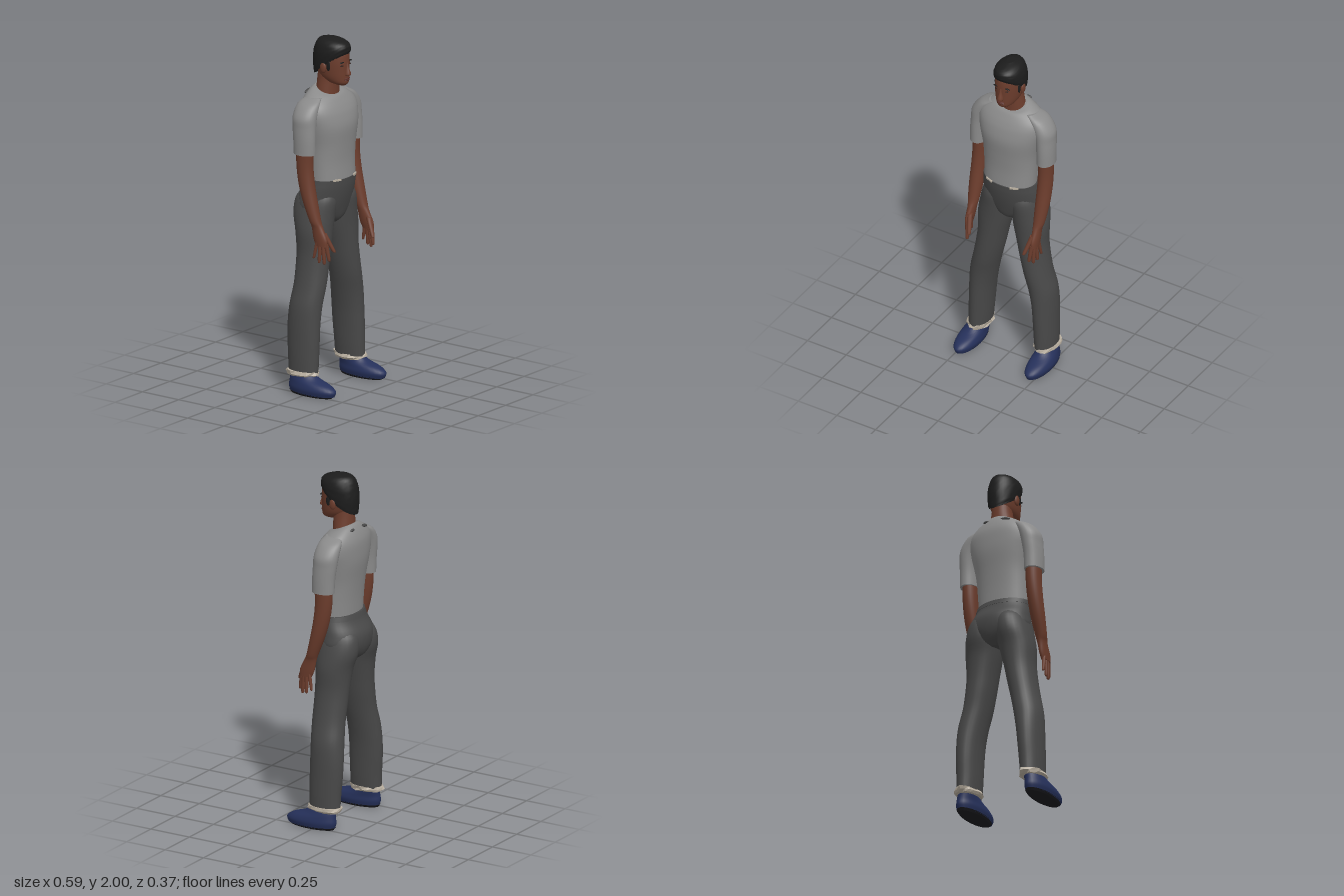
import * as THREE from 'three';

const mat = (name, color) => Object.assign(new THREE.MeshStandardMaterial({ color }), { name });

// Small seeded generator for ragged edges
function seeded(seed) {
  return () => ((seed = (seed * 16807) % 2147483647) / 2147483647) * 2 - 1;
}

// Smooth skin through elliptical rings [x, y, z, radiusX, radiusZ, frontLift], listed upwards
function loft(rings, { n = 28, steps = 4, e = 1, ragged = 0, seed = 7 } = {}) {
  const rows = rings.map(r => [...r.slice(0, 5), r[5] || 0]);
  const spline = new THREE.CubicInterpolant(
    new Float32Array(rows.map((_, i) => i)), new Float32Array(rows.flat()), 6);
  const rand = seeded(seed);
  const soft = v => Math.sign(v) * Math.abs(v) ** e;
  const pos = [], index = [], last = (rows.length - 1) * steps;
  for (let i = 0; i <= last; i++) {
    const [x, y, z, rx, rz, lift] = Array.from(spline.evaluate(i / steps));
    for (let j = 0; j < n; j++) {
      const a = (j / n) * Math.PI * 2, k = 1 + ragged * rand();
      const c = soft(Math.cos(a)), s = soft(Math.sin(a));
      pos.push(x + rx * c * k, y + lift * s, z + rz * s * k);
      if (i < last) {
        const p = i * n + j, q = i * n + (j + 1) % n;
        index.push(p, p + n, q, q, p + n, q + n);
      }
    }
  }
  // End caps with their own vertices, so the rim stays sharp
  for (const [row, up] of [[0, false], [last, true]]) {
    const from = row * n, base = pos.length / 3, mid = [0, 0, 0];
    for (let j = 0; j < n; j++) {
      for (let k = 0; k < 3; k++) {
        const v = pos[(from + j) * 3 + k];
        pos.push(v);
        mid[k] += v / n;
      }
    }
    pos.push(...mid);
    for (let j = 0; j < n; j++) {
      const p = base + j, q = base + (j + 1) % n;
      index.push(...(up ? [p, base + n, q] : [p, q, base + n]));
    }
  }
  const g = new THREE.BufferGeometry();
  g.setAttribute('position', new THREE.Float32BufferAttribute(pos, 3));
  g.setIndex(index);
  g.computeVertexNormals();
  return g;
}

export function createModel() {
  const model = new THREE.Group();
  model.name = 'standingMan';
  const skin = mat('skin', 0x6b3c2c), lip = mat('lips', 0x5a2f28), eye = mat('eyes', 0x2a1a16);
  const hair = mat('hair', 0x1c1c1c), shirt = mat('shirt', 0x8a8a8a), cloth = mat('trousers', 0x484848);
  const shoe = mat('shoe', 0x25305a), sole = mat('sole', 0x1c1c20), cuff = mat('cuff', 0xb8ae9f);

  const add = (name, geometry, material) => {
    const m = new THREE.Mesh(geometry, material);
    m.name = name;
    model.add(m);
    return m;
  };
  const blob = (name, material, p, size, roll = 0) => {
    const m = add(name, new THREE.SphereGeometry(1, 16, 12), material);
    m.position.set(...p);
    m.scale.set(...size);
    m.rotation.z = roll;
    return m;
  };

  // Head and neck
  add('neck', loft([[0, 1.64, -.04, .078, .062], [0, 1.7, -.038, .07, .06],
    [0, 1.76, -.035, .06, .06], [0, 1.82, -.03, .055, .06]]), skin);
  add('head', loft([[0, 1.735, .05, .022, .035], [0, 1.75, .035, .048, .062], [0, 1.78, .01, .066, .088],
    [0, 1.82, 0, .074, .098], [0, 1.87, -.005, .078, .103], [0, 1.92, -.008, .076, .1],
    [0, 1.96, -.01, .062, .082], [0, 1.985, -.01, .03, .04]]), skin);
  add('nose', loft([[0, 1.793, .1, .014, .012], [0, 1.802, .1, .018, .019],
    [0, 1.84, .094, .009, .013], [0, 1.868, .09, .008, .008]], { n: 14 }), skin);
  blob('upperLip', lip, [0, 1.776, .095], [.024, .005, .01]);
  blob('lowerLip', lip, [0, 1.767, .094], [.021, .006, .01]);

  // Short cropped hair, lower at the nape than at the brow
  add('hair', loft([[0, 1.845, -.011, .079, .105, .07], [0, 1.87, -.009, .085, .111, .062],
    [0, 1.92, -.01, .086, .112, .035], [0, 1.96, -.01, .076, .1, .012],
    [0, 1.985, -.012, .055, .075, 0], [0, 1.998, -.012, .022, .032, 0]],
    { n: 40, ragged: .014 }), hair);

  // Shirt body
  add('shirtBody', loft([[0, 1.2, -.01, .155, .107], [0, 1.3, -.015, .158, .108], [0, 1.4, -.018, .165, .116],
    [0, 1.5, -.022, .185, .127], [0, 1.57, -.03, .2, .122], [0, 1.62, -.037, .195, .112, -.008],
    [0, 1.658, -.04, .165, .096, -.014], [0, 1.688, -.04, .115, .078, -.02],
    [0, 1.7, -.04, .079, .063, -.025]], { n: 40, e: .92 }), shirt);
  blob('shoulderPatch', cloth, [-.075, 1.688, -.115], [.033, .009, .011], .2);
  blob('shoulderPatch', cloth, [.05, 1.697, -.12], [.018, .008, .008], -.1);

  // Trouser seat
  add('trouserSeat', loft([[0, .94, -.05, .03, .07], [0, .97, -.055, .1, .105], [0, 1.03, -.057, .183, .126],
    [0, 1.1, -.048, .18, .135], [0, 1.16, -.025, .17, .122], [0, 1.205, -.014, .16, .114]], { n: 40 }), cloth);
  add('waistband', loft([[0, 1.178, -.02, .168, .121], [0, 1.206, -.014, .163, .117]], { n: 40, steps: 1 }), cloth);

  for (const s of [1, -1]) {
    const side = s > 0 ? 'left' : 'right';
    const part = (name, rings, material, options) =>
      add(side + name, loft(rings.map(([x, ...r]) => [x * s, ...r]), options), material);

    // Face details
    blob(side + 'Ear', skin, [s * .08, 1.837, -.01], [.011, .031, .02]);
    blob(side + 'Eye', eye, [s * .031, 1.852, .085], [.014, .004, .007]);
    blob(side + 'Eyebrow', hair, [s * .034, 1.871, .087], [.02, .004, .006], -s * .08);
    blob(side + 'Sideburn', hair, [s * .075, 1.852, .022], [.005, .03, .013]);

    // Sleeve and arm
    part('Sleeve', [[.215, 1.37, -.035, .05, .066], [.214, 1.45, -.037, .051, .068],
      [.209, 1.52, -.042, .053, .071], [.198, 1.58, -.045, .058, .073], [.163, 1.64, -.047, .048, .068],
      [.12, 1.672, -.045, .03, .05]], shirt);
    part('Arm', [[.214, .86, .08, .016, .038], [.212, .9, .07, .02, .045], [.21, .96, .05, .024, .036],
      [.212, 1, .035, .032, .034], [.213, 1.1, .003, .04, .042], [.213, 1.2, -.022, .042, .047],
      [.212, 1.3, -.035, .042, .05], [.212, 1.42, -.035, .042, .055]], skin);

    // Fingers and thumb as [root, tip, radius]
    const fingers = [
      ['Thumb', [.203, .93, .09], [.177, .825, .142], .014],
      ['IndexFinger', [.208, .875, .106], [.2, .775, .124], .012],
      ['MiddleFinger', [.213, .87, .09], [.214, .757, .1], .012],
      ['RingFinger', [.216, .87, .072], [.222, .763, .07], .011],
      ['LittleFinger', [.218, .88, .054], [.225, .785, .035], .01],
    ];
    for (const [name, root, tip, r] of fingers) {
      const ring = (t, k) => [...root.map((v, i) => v + (tip[i] - v) * t), r * k, r * k];
      part(name, [ring(1, .3), ring(.93, .75), ring(.5, .95), ring(0, 1.1)], skin, { n: 10, steps: 3 });
    }

    // Trouser leg
    part('TrouserLeg', [[.213, .12, -.045, .058, .094], [.21, .2, -.046, .062, .096], [.206, .3, -.049, .065, .1],
      [.2, .4, -.05, .07, .1], [.187, .5, -.046, .077, .098], [.163, .6, -.038, .078, .097],
      [.142, .7, -.038, .081, .098], [.126, .8, -.04, .086, .1], [.114, .91, -.045, .1, .108],
      [.1, 1, -.055, .1, .124], [.088, 1.08, -.05, .09, .125], [.082, 1.13, -.04, .07, .1]], cloth);

    // Light lining showing under the shirt hem
    const lining = add(side + 'HemLining', new THREE.BoxGeometry(.05, .01, .008), cuff);
    lining.position.set(s * .08, 1.206, .087);
    lining.rotation.y = s * .39;

    // Ragged sock cuff
    const rag = part('SockCuff', [[.216, .1, -.047, .06, .09], [.217, .113, -.05, .068, .1],
      [.217, .13, -.05, .064, .097]], cuff, { n: 18, steps: 1, ragged: .1, seed: 31 + s });
    rag.geometry = rag.geometry.toNonIndexed();
    rag.geometry.computeVertexNormals();

    // Slip-on shoe and sole
    part('Shoe', [[.23, .01, .03, .058, .147], [.23, .038, .03, .065, .155], [.229, .065, .014, .061, .136],
      [.225, .092, -.025, .054, .094], [.217, .13, -.047, .047, .07]], shoe, { n: 32 });
    part('Sole', [[.23, 0, .025, .05, .135], [.23, .014, .028, .06, .15]], sole, { n: 32, steps: 1 });
  }
  return model;
}
